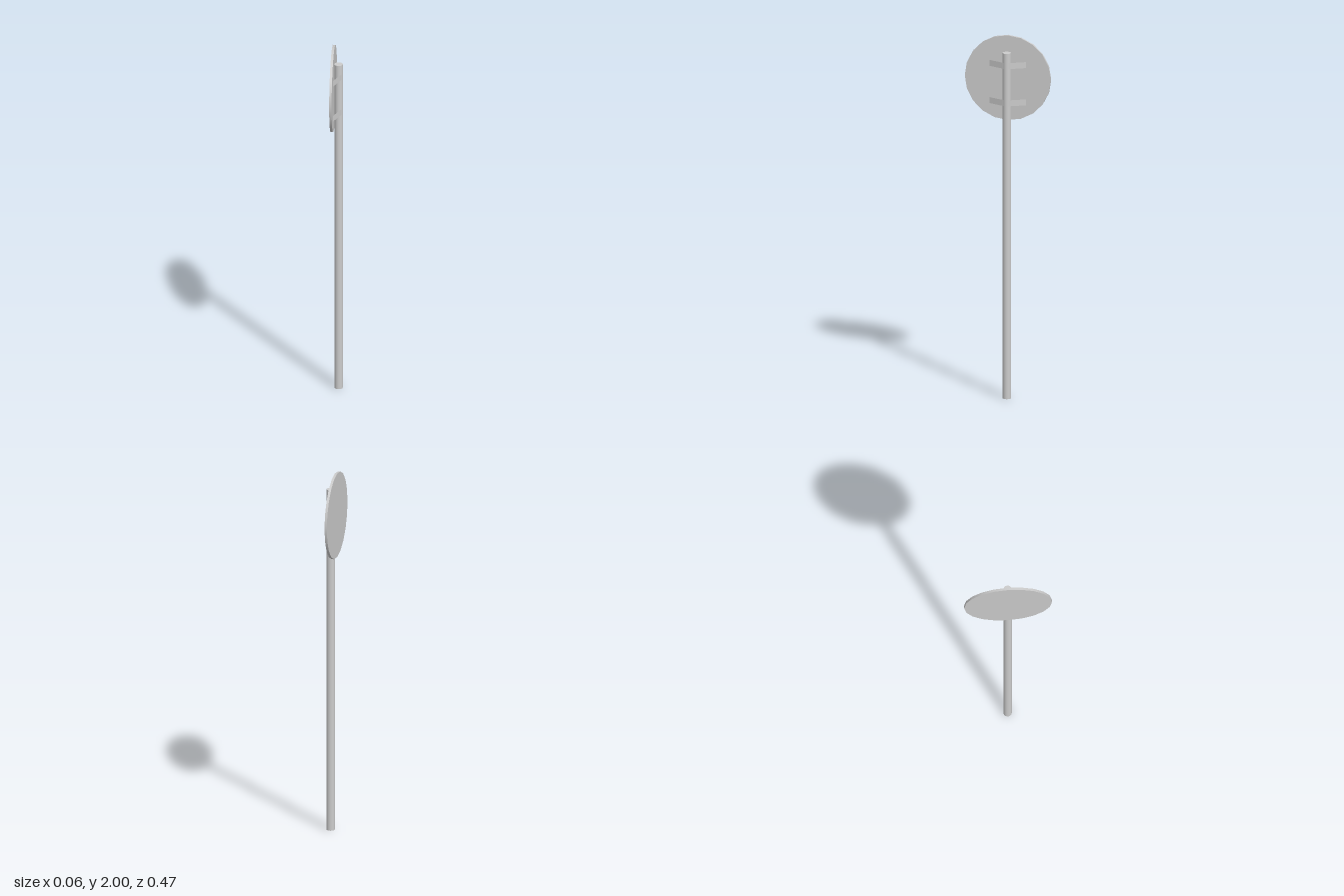
import * as THREE from 'three';

export function createModel() {
  const group = new THREE.Group();
  const grey = new THREE.MeshStandardMaterial({ color: 0xcccccc });
  const thin = new THREE.MeshStandardMaterial({ color: 0xcccccc, side: THREE.DoubleSide });
  const poleX = 0.005, poleR = 0.0225;

  function add(name, geometry, material, x, y, z) {
    const mesh = new THREE.Mesh(geometry, material);
    mesh.name = name;
    mesh.position.set(x, y, z);
    group.add(mesh);
    return mesh;
  }

  // Upright pole
  add('pole', new THREE.CylinderGeometry(poleR, poleR, 1.91, 20), grey, poleX, 0.955, 0);

  // Round sign plate facing -x
  const plate = add('signPlate', new THREE.CylinderGeometry(0.234, 0.234, 0.013, 20), grey, -0.0245, 1.766, 0);
  plate.rotation.z = Math.PI / 2;

  // Thin straps running from the plate to the far side of the pole
  const inner = new THREE.Vector2(poleX + 0.0195, 0.0095); // x, z at the pole
  const outer = new THREE.Vector2(-0.018, 0.1);            // x, z at the plate
  const length = inner.distanceTo(outer);
  const middle = inner.clone().add(outer).multiplyScalar(0.5);
  const turn = Math.atan2(outer.y - inner.y, inner.x - outer.x);
  for (const [level, y] of [['upper', 1.842], ['lower', 1.636]]) {
    for (const side of [1, -1]) {
      const strap = add(level + (side > 0 ? 'FrontStrap' : 'BackStrap'),
        new THREE.PlaneGeometry(length, 0.033), thin, middle.x, y, side * middle.y);
      strap.rotation.y = side * turn;
    }
  }
  return group;
}
